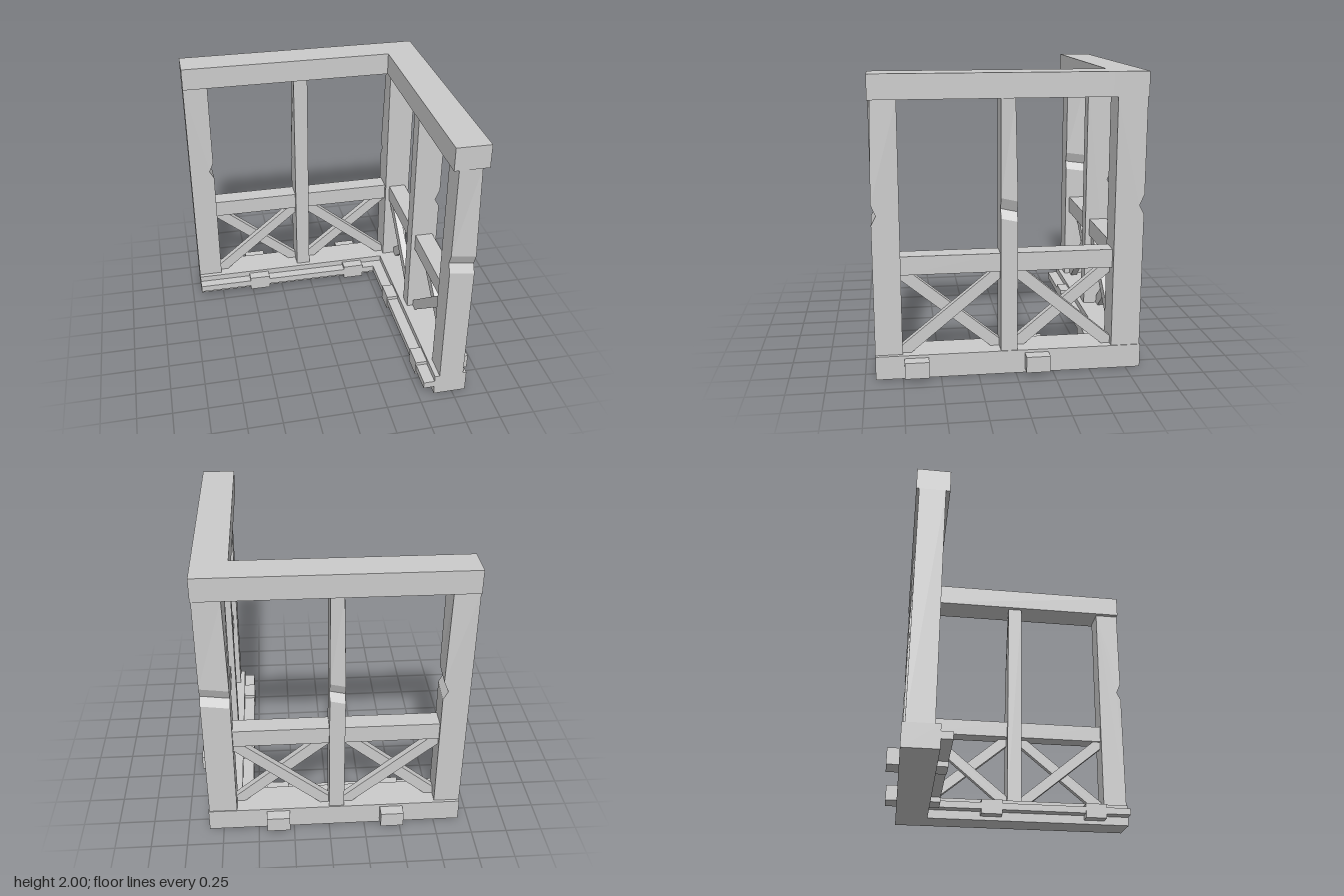
import * as THREE from 'three';

const material = new THREE.MeshStandardMaterial({ color: 0xcccccc, flatShading: true });

export function createModel() {
  const model = new THREE.Group();

  const add = (name, geometry, parent = model) => {
    const mesh = new THREE.Mesh(geometry, material);
    mesh.name = name;
    parent.add(mesh);
    return mesh;
  };

  // Box given by its min and max corners
  const box = (name, x0, x1, y0, y1, z0, z1) => {
    const mesh = add(name, new THREE.BoxGeometry(x1 - x0, y1 - y0, z1 - z0));
    mesh.position.set((x0 + x1) / 2, (y0 + y1) / 2, (z0 + z1) / 2);
    return mesh;
  };

  // Top beams
  box('backTopBeam', -0.93, 0.85, 1.84, 2, -0.85, -0.62);
  box('sideTopBeam', 0.615, 0.85, 1.84, 2, -0.62, 0.93);

  // Base beams with inner ledges
  box('backBaseBeam', -0.93, 0.85, 0, 0.16, -0.85, -0.615);
  box('sideBaseBeam', 0.615, 0.85, 0, 0.16, -0.615, 0.93);
  box('backLedge', -0.93, 0.615, 0.065, 0.115, -0.615, -0.54);
  box('sideLedge', 0.535, 0.615, 0.065, 0.115, -0.54, 0.93);

  // Joist ends passing through the base beams
  for (const x of [-0.44, 0.36]) box('backJoist', x - 0.08, x + 0.08, 0.03, 0.14, -0.93, -0.54);
  for (const z of [-0.14, 0.66]) box('sideJoist', 0.53, 0.93, 0.03, 0.14, z - 0.08, z + 0.08);

  // Post with a slanted chip across its local +z face and a shaved upper edge
  const post = (name, cx, cz, width, depth, angle) => {
    const h = depth / 2;
    const profile = new THREE.Shape([
      [-h, 0.16], [h, 0.16], [h, 1.055], [h - 0.032, 1.115], [h, 1.19], [h, 1.84], [-h, 1.84],
    ].map(([z, y]) => new THREE.Vector2(-z, y)));
    const geometry = new THREE.ExtrudeGeometry(profile, { depth: width, bevelEnabled: false });
    geometry.translate(0, 0, -width / 2).rotateY(Math.PI / 2);
    const p = geometry.attributes.position;
    for (let i = 0; i < p.count; i++) {
      const x = p.getX(i), y = p.getY(i), z = p.getZ(i);
      if (y > 1 && y < 1.3) p.setY(i, y - (x / width) * 0.025);
      if (y > 1.8 && z > 0 && x > 0) p.setXYZ(i, x - 0.015, y, z - 0.015);
    }
    geometry.computeVertexNormals();
    const mesh = add(name, geometry);
    mesh.position.set(cx, 0, cz);
    mesh.rotation.y = angle;
  };
  post('backEndPost', -0.84, -0.74, 0.18, 0.18, Math.PI / 2);
  post('backMiddlePost', -0.053, -0.745, 0.105, 0.19, Math.PI);
  post('cornerPost', 0.747, -0.747, 0.195, 0.195, Math.PI);
  post('sideMiddlePost', 0.747, 0.045, 0.11, 0.195, Math.PI / 2);
  post('sideEndPost', 0.737, 0.84, 0.175, 0.18, 0);

  // Rail and crossed braces filling one bay, built along local x
  const bay = (name, from, to, rising, place) => {
    const group = new THREE.Group();
    group.name = name;
    const length = to - from, mid = (from + to) / 2;
    add('rail', new THREE.BoxGeometry(length, 0.125, 0.13), group).position.set(mid, 0.763, 0);
    // Each brace is a slanted bar with ends cut flush to the posts and rail
    for (const s of [1, -1]) {
      const a = length / 2;
      const shape = new THREE.Shape([
        [-a, 0.16], [-a + 0.06, 0.16], [a, 0.65], [a, 0.7], [a - 0.06, 0.7], [-a, 0.215],
      ].map(([x, y]) => new THREE.Vector2(x, s > 0 ? y : 0.86 - y)));
      const geometry = new THREE.ExtrudeGeometry(shape, { depth: 0.05, bevelEnabled: false });
      add('brace', geometry, group).position.set(mid, 0, s === rising ? 0 : -0.05);
    }
    place(group);
    model.add(group);
  };
  const back = (g) => g.position.set(0, 0, -0.745);
  const side = (g) => {
    g.position.x = 0.745;
    g.rotation.y = Math.PI / 2; // local x runs along -z
  };
  bay('backBayRight', -0.75, -0.105, 1, back);
  bay('backBayLeft', 0, 0.65, -1, back);
  bay('sideBayFront', -0.75, -0.1, 1, side);
  bay('sideBayRear', 0.01, 0.65, -1, side);

  return model;
}
